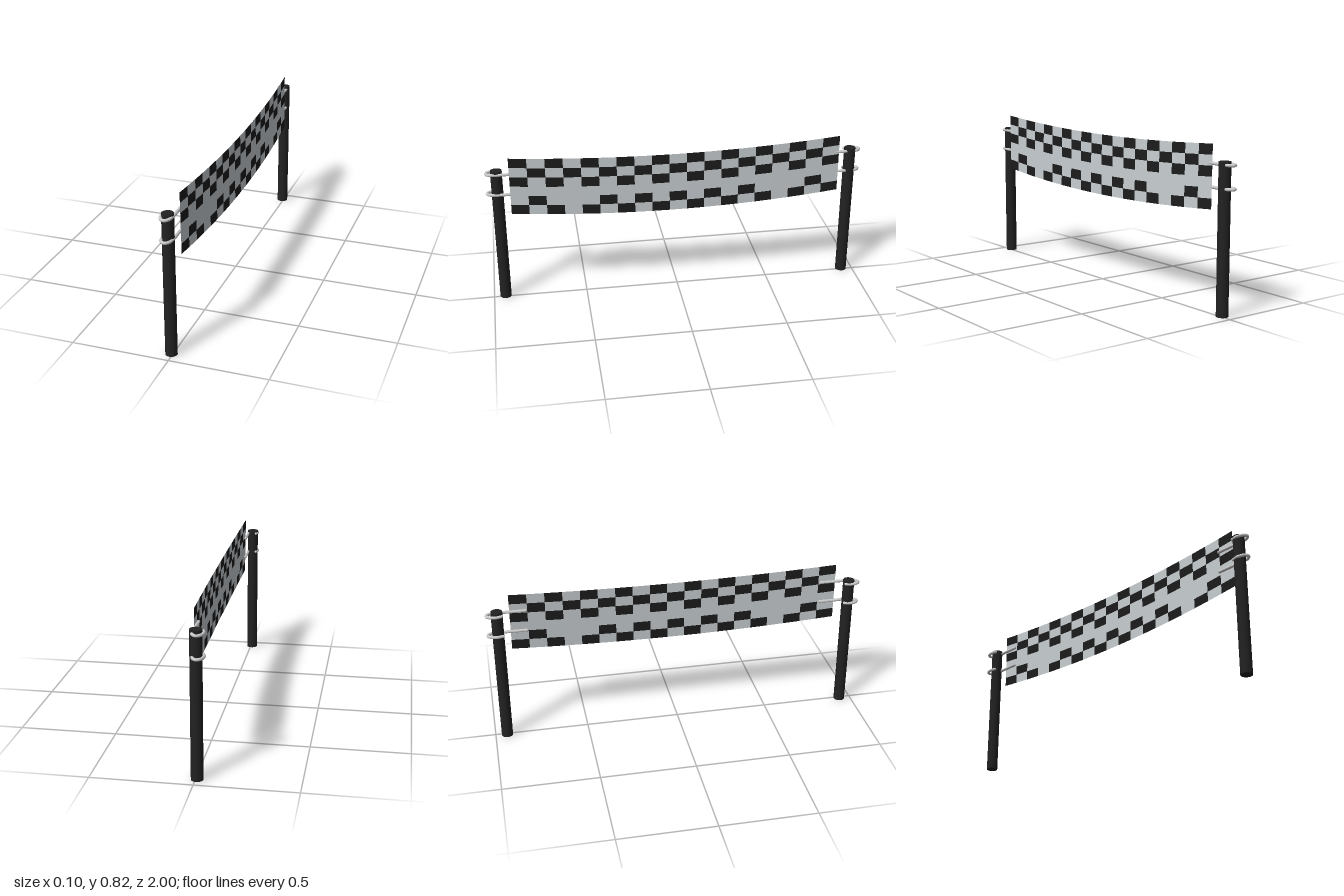
import * as THREE from 'three';

const COLS = 19, ROWS = 6, HALF = 0.873;
const black = new THREE.MeshStandardMaterial({ color: 0x222222 });
const clothBlack = new THREE.MeshStandardMaterial({ color: 0x1c1c1c, side: THREE.DoubleSide });
const clothLight = new THREE.MeshStandardMaterial({ color: 0xc8ced2, side: THREE.DoubleSide });
const grey = new THREE.MeshStandardMaterial({ color: 0xcccccc });

// Point on the sagging, bowed cloth: u runs front to back, v top to bottom
function clothPoint(u, v) {
  const s = 1 - 2 * u;
  const top = 0.794 + 0.029 * s * s;
  const bottom = 0.475 + 0.036 * s * s;
  const x = 0.039 - 0.021 * s * s + 0.008 * s + 0.004 * v;
  return [x, top + (bottom - top) * v, s * HALF];
}

// Checker pattern, with a plain band along row 3 and two gaps in row 4
function isBlack(col, row) {
  if (row === 3) return false;
  if (row === 4) return col % 2 === 1 && col !== 3 && col !== 15;
  if (row === 5) return col % 2 === 0;
  return (col + row) % 2 === 0;
}

// All cloth cells of one shade as a single sheet
function clothCells(wanted) {
  const positions = [], index = [];
  for (let c = 0; c < COLS; c++) {
    for (let r = 0; r < ROWS; r++) {
      if (isBlack(c, r) !== wanted) continue;
      const n = positions.length / 3;
      for (const [i, j] of [[0, 0], [0, 1], [1, 1], [1, 0]]) {
        positions.push(...clothPoint((c + i) / COLS, (r + j) / ROWS));
      }
      index.push(n, n + 1, n + 2, n, n + 2, n + 3);
    }
  }
  const geometry = new THREE.BufferGeometry();
  geometry.setAttribute('position', new THREE.Float32BufferAttribute(positions, 3));
  geometry.setIndex(index);
  geometry.computeVertexNormals();
  return geometry;
}

// Hooked tie: a straight strand from the cloth, bent round the outside of a post
function tieGeometry(side, shift) {
  const path = [
    [0.016, 0.79], [0.016, 0.87], [0.017, 0.94], [0.011, 0.975],
    [-0.008, 0.991], [-0.028, 0.977], [-0.036, 0.945], [-0.029, 0.915],
  ].map(([x, z]) => new THREE.Vector3(x + shift, 0, z * side));
  return new THREE.TubeGeometry(new THREE.CatmullRomCurve3(path), 40, 0.008, 8, false);
}

export function createModel() {
  const group = new THREE.Group();
  const add = (name, geometry, material, parent = group) => {
    const mesh = new THREE.Mesh(geometry, material);
    mesh.name = name;
    parent.add(mesh);
    return mesh;
  };

  // Banner
  const banner = new THREE.Group();
  banner.name = 'banner';
  group.add(banner);
  add('darkChecks', clothCells(true), clothBlack, banner);
  add('lightChecks', clothCells(false), clothLight, banner);

  // Posts, each with two ties
  for (const side of [1, -1]) {
    const end = side > 0 ? 'front' : 'back';
    const post = add(end + 'Post', new THREE.CylinderGeometry(0.03, 0.03, 0.745, 24), black);
    post.position.set(-0.008, 0.3725, side * 0.938);

    const tie = tieGeometry(side, side > 0 ? 0 : -0.01);
    for (const [label, y] of [['Upper', 0.73], ['Lower', 0.617]]) {
      add(end + label + 'Tie', tie, grey).position.y = y;
      // Rounded tips closing both ends of the tie
      for (const [x, z] of [[0.016, 0.79], [-0.029, 0.915]]) {
        const tip = add(end + label + 'TieTip', new THREE.SphereGeometry(0.008, 8, 6), grey);
        tip.position.set(x + (side > 0 ? 0 : -0.01), y, z * side);
      }
    }
  }
  return group;
}
